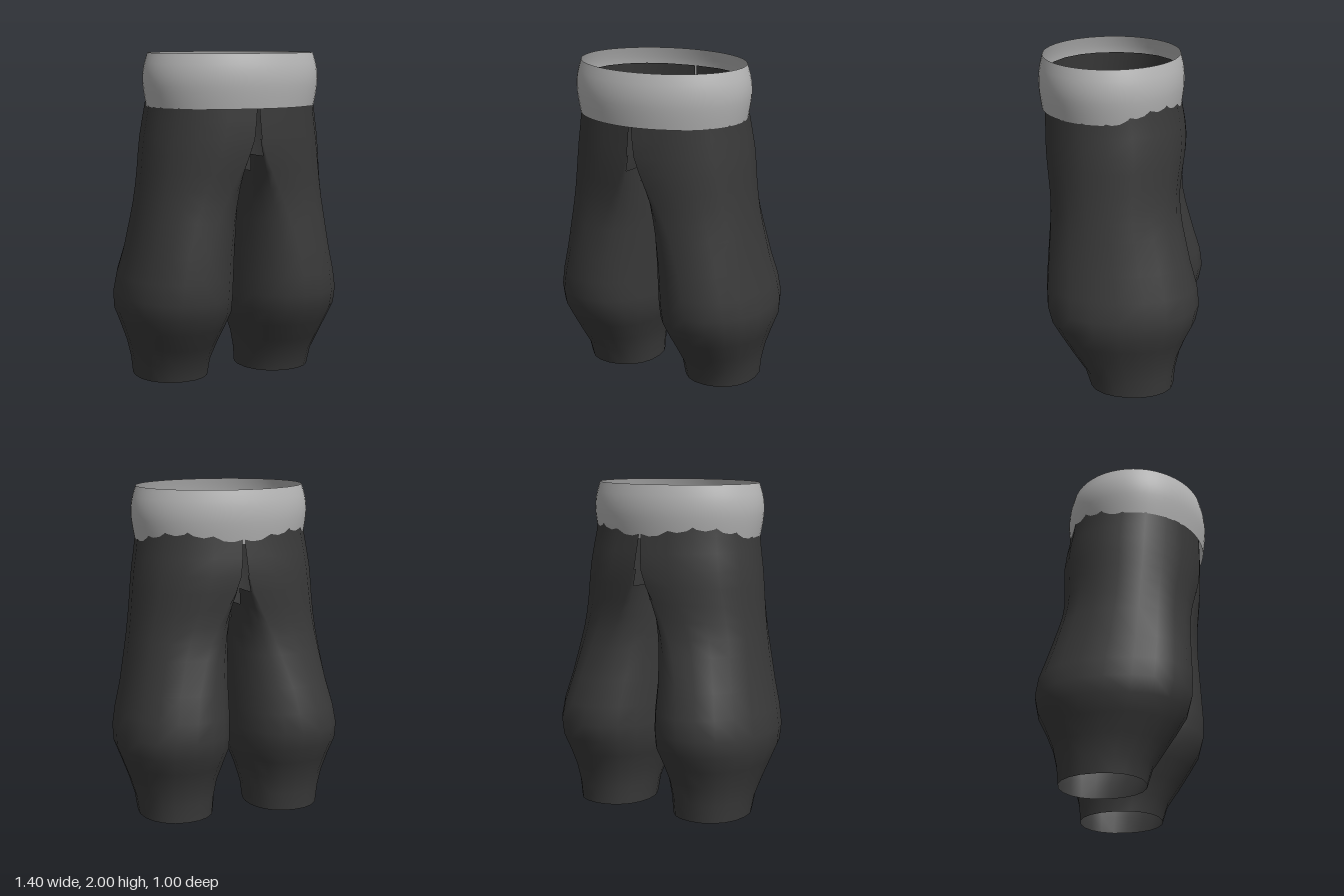
import * as THREE from 'three';

const SIDES = 20;

// Leg sections: y, inner x, ridge x (where the section is deepest), outer x, back z, front z
const SECTIONS = [
  [0.00, 0.120, 0.350, 0.575, -0.350, 0.160],
  [0.11, 0.110, 0.350, 0.590, -0.360, 0.195],
  [0.22, 0.085, 0.350, 0.620, -0.385, 0.270],
  [0.33, 0.045, 0.345, 0.660, -0.430, 0.340],
  [0.43, 0.012, 0.340, 0.698, -0.480, 0.400],
  [0.53, 0.010, 0.340, 0.702, -0.500, 0.427],
  [0.65, 0.010, 0.325, 0.682, -0.485, 0.430],
  [0.80, 0.010, 0.300, 0.645, -0.440, 0.423],
  [1.00, 0.010, 0.240, 0.612, -0.390, 0.415],
  [1.10, 0.010, 0.200, 0.597, -0.372, 0.415],
  [1.20, 0.012, 0.155, 0.585, -0.368, 0.422],
  [1.30, 0.018, 0.105, 0.575, -0.377, 0.437],
  [1.40, 0.022, 0.055, 0.567, -0.390, 0.452],
  [1.50, 0.022, 0.023, 0.557, -0.395, 0.460],
  [1.60, 0.013, 0.013, 0.541, -0.385, 0.461],
  [1.70, 0.006, 0.006, 0.526, -0.367, 0.460],
  [1.80, 0.006, 0.006, 0.515, -0.358, 0.457],
  [1.90, 0.006, 0.006, 0.503, -0.350, 0.452],
];

const soften = v => Math.sign(v) * Math.pow(Math.abs(v), 0.93);

// Tube of sections, left open along the inside above the crotch
function legGeometry(side) {
  const positions = [], index = [];
  for (const [y, xIn, xMid, xOut, zBack, zFront] of SECTIONS) {
    const zMid = (zBack + zFront) / 2, depth = (zFront - zBack) / 2;
    for (let i = 0; i < SIDES; i++) {
      const a = i / SIDES * Math.PI * 2;
      const c = soften(Math.cos(a)), s = soften(Math.sin(a));
      const x = xMid + c * (c > 0 ? xOut - xMid : xMid - xIn);
      positions.push(side * x, y, zMid + depth * s);
    }
  }
  for (let r = 0; r < SECTIONS.length - 1; r++) {
    for (let i = 0; i < SIDES; i++) {
      const mid = (i + 0.5) / SIDES * Math.PI * 2;
      const crotch = 1.21 + 0.3 * Math.abs(Math.sin(mid));
      if (Math.cos(mid) < 0 && SECTIONS[r + 1][0] > crotch) continue;
      const j = (i + 1) % SIDES;
      const a = r * SIDES + i, b = r * SIDES + j, c = a + SIDES, d = b + SIDES;
      if (side > 0) index.push(a, c, b, b, c, d);
      else index.push(a, b, c, b, d, c);
    }
  }
  const geometry = new THREE.BufferGeometry();
  geometry.setAttribute('position', new THREE.Float32BufferAttribute(positions, 3));
  geometry.setIndex(index);
  geometry.computeVertexNormals();
  return geometry;
}

export function createModel() {
  const group = new THREE.Group();
  group.name = 'trousers';

  const darkCloth = new THREE.MeshStandardMaterial({ color: 0x393939, side: THREE.DoubleSide });
  darkCloth.name = 'dark cloth';
  const paleCloth = new THREE.MeshStandardMaterial({ color: 0xb4b4b4, side: THREE.DoubleSide });
  paleCloth.name = 'pale cloth';

  // Legs
  for (const [name, side] of [['leftLeg', 1], ['rightLeg', -1]]) {
    const leg = new THREE.Mesh(legGeometry(side), darkCloth);
    leg.name = name;
    group.add(leg);
  }

  // Bulging oval waistband, open above and below
  const profile = new THREE.SplineCurve([
    [0.527, 1.68], [0.542, 1.76], [0.550, 1.84], [0.542, 1.92], [0.518, 2.0],
  ].map(([r, y]) => new THREE.Vector2(r, y))).getPoints(10);
  const bandGeometry = new THREE.LatheGeometry(profile, 56);
  bandGeometry.scale(1, 1, 0.8);
  bandGeometry.translate(0, 0, 0.06);
  const band = new THREE.Mesh(bandGeometry, paleCloth);
  band.name = 'waistband';
  group.add(band);

  return group;
}
